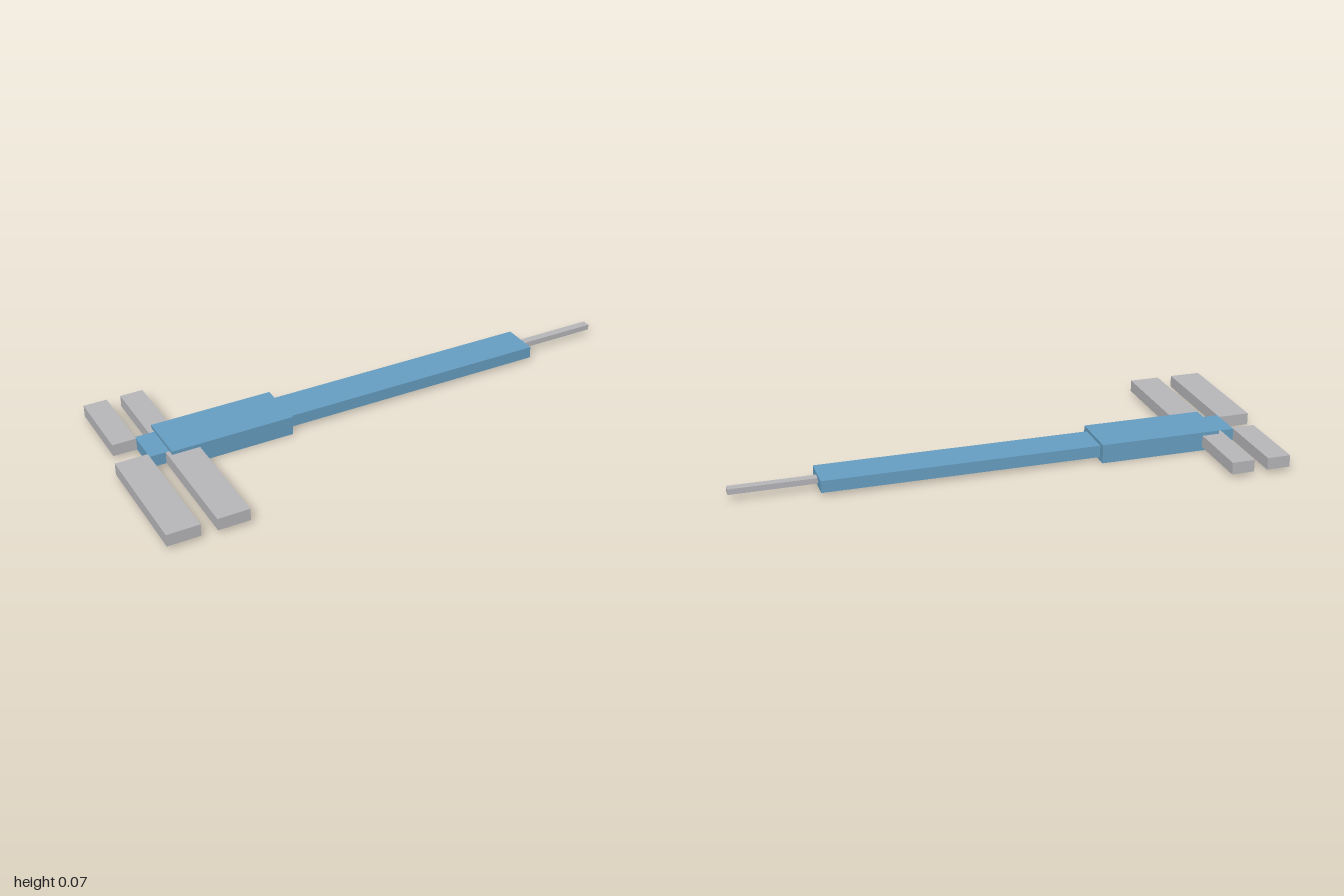
import * as THREE from 'three';

const blue = new THREE.MeshStandardMaterial({ name: 'blue', color: 0x68a0c4 });
const grey = new THREE.MeshStandardMaterial({ name: 'grey', color: 0xb8b8bc });

// Box given by its extents along each axis
function block(name, material, [x0, x1], [y0, y1], [z0, z1]) {
  const mesh = new THREE.Mesh(new THREE.BoxGeometry(x1 - x0, y1 - y0, z1 - z0), material);
  mesh.name = name;
  mesh.position.set((x0 + x1) / 2, (y0 + y1) / 2, (z0 + z1) / 2);
  return mesh;
}

export function createModel() {
  const model = new THREE.Group();
  model.name = 'model';
  const slab = [0.014, 0.059];

  // Long body, thicker sleeve around it and thin nose rod
  model.add(
    block('body', blue, [-0.88, 0.685], slab, [-0.149, -0.008]),
    block('sleeve', blue, [-0.808, -0.348], [0, 0.072], [-0.176, 0.018]),
    block('noseRod', grey, [0.685, 1], [0.026, 0.047], [-0.094, -0.063]),
  );

  // Two long panels in front, two short ones behind
  model.add(
    block('frontOuterPanel', grey, [-1, -0.88], slab, [-0.027, 0.433]),
    block('frontInnerPanel', grey, [-0.822, -0.705], slab, [-0.008, 0.433]),
    block('backOuterPanel', grey, [-0.968, -0.88], slab, [-0.433, -0.138]),
    block('backInnerPanel', grey, [-0.828, -0.742], slab, [-0.433, -0.149]),
  );
  return model;
}
